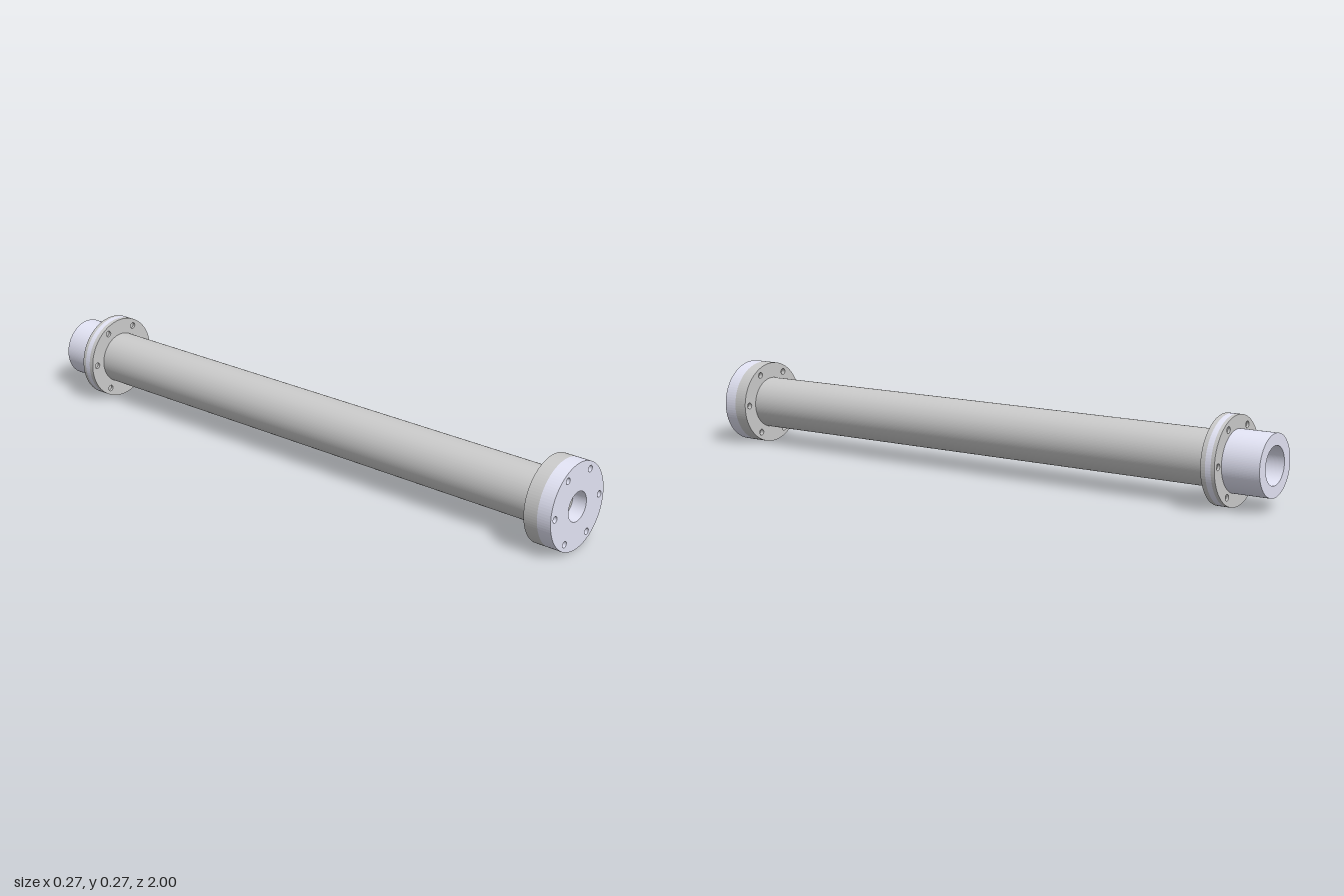
import * as THREE from 'three';

const steel = new THREE.MeshStandardMaterial({ color: 0xcccccc });
const pale = new THREE.MeshStandardMaterial({ color: 0xe4e5f6 });

const BOLT_CIRCLE = 0.113;
const BOLT_R = 0.01;

// Six points of the bolt circle
const boltSpots = Array.from({ length: 6 }, (_, i) => {
  const a = (i * Math.PI) / 3;
  return [BOLT_CIRCLE * Math.cos(a), BOLT_CIRCLE * Math.sin(a)];
});

// Round plate between z0 and z1, pierced by holes given as [x, y, radius]
function plate(name, radius, z0, z1, holes, material, segments = 48) {
  const shape = new THREE.Shape().absarc(0, 0, radius, 0, Math.PI * 2);
  for (const [x, y, r] of holes) {
    shape.holes.push(new THREE.Path().absarc(x, y, r, 0, Math.PI * 2, true));
  }
  const geometry = new THREE.ExtrudeGeometry(shape, {
    depth: z1 - z0, bevelEnabled: false, curveSegments: segments,
  });
  const mesh = new THREE.Mesh(geometry, material);
  mesh.name = name;
  mesh.position.z = z0;
  return mesh;
}

// Flange layer with a central bore and the bolt holes
function flange(name, z0, z1, bore, material) {
  const holes = [[0, 0, bore], ...boltSpots.map(([x, y]) => [x, y, BOLT_R])];
  return plate(name, 0.135, z0, z1, holes, material);
}

// Bolts sunk into a stack of flange layers
function bolts(name, z0, z1) {
  const group = new THREE.Group();
  group.name = name;
  const geometry = new THREE.CylinderGeometry(BOLT_R, BOLT_R, z1 - z0, 20).rotateX(Math.PI / 2);
  for (const [x, y] of boltSpots) {
    const bolt = new THREE.Mesh(geometry, steel);
    bolt.name = 'bolt';
    bolt.position.set(x, y, (z0 + z1) / 2);
    group.add(bolt);
  }
  return group;
}

export function createModel() {
  const model = new THREE.Group();
  model.name = 'flangedTube';
  const axis = new THREE.Group();
  axis.name = 'assembly';
  axis.position.y = 0.136;
  model.add(axis);

  // Long hollow tube
  axis.add(plate('mainTube', 0.084, -0.85, 0.93, [[0, 0, 0.06]], steel, 64));

  // Front end: steel flange, pale cover and recessed strainer
  axis.add(flange('frontFlange', 0.91, 0.955, 0.023, steel));
  axis.add(flange('frontCover', 0.955, 1, 0.046, pale));
  axis.add(bolts('frontBolts', 0.925, 0.975));

  const perforations = [[0, 0, 0.002]];
  for (const [count, ring] of [[6, 0.008], [12, 0.016]]) {
    for (let i = 0; i < count; i++) {
      const a = (i / count) * Math.PI * 2;
      perforations.push([ring * Math.cos(a), ring * Math.sin(a), 0.002]);
    }
  }
  axis.add(plate('strainer', 0.023, 0.935, 0.945, perforations, steel, 12));

  // Back end: pale adapter clamped between two steel rings
  axis.add(flange('backFlange', -0.85, -0.835, 0.06, steel));
  axis.add(flange('adapterFlange', -0.868, -0.85, 0.05, pale));
  axis.add(flange('clampRing', -0.88, -0.868, 0.09, steel));
  axis.add(bolts('backBolts', -0.872, -0.843));

  // Open adapter sleeve
  axis.add(plate('adapterSleeve', 0.094, -1, -0.868, [[0, 0, 0.058]], pale, 64));

  return model;
}
